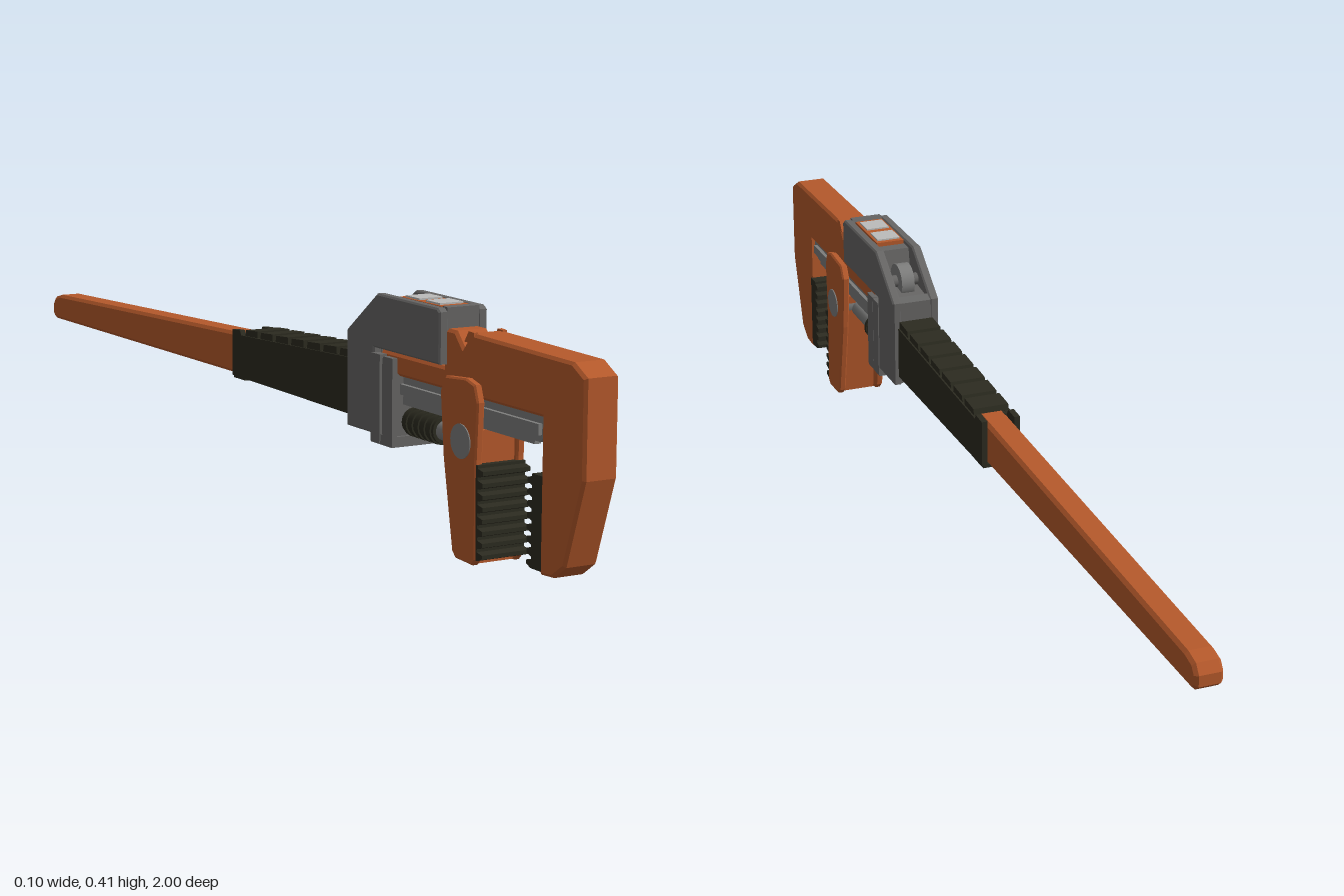
import * as THREE from 'three';

const mat = (name, color) => new THREE.MeshStandardMaterial({ name, color });

export function createModel() {
  const orange = mat('orange paint', 0xb5592b);
  const grey = mat('housing grey', 0x666564);
  const steel = mat('steel', 0x7d7d7c);
  const dark = mat('black rubber', 0x2c2b20);
  const pale = mat('pale window', 0xbcbcba);

  const group = new THREE.Group();
  group.name = 'pipeWrench';

  const add = (name, geometry, material, x = 0, y = 0, z = 0) => {
    const mesh = new THREE.Mesh(geometry, material);
    mesh.name = name;
    mesh.position.set(x, y, z);
    group.add(mesh);
    return mesh;
  };
  const box = (name, m, w, y0, y1, z0, z1, x = 0) =>
    add(name, new THREE.BoxGeometry(w, y1 - y0, z1 - z0), m, x, (y0 + y1) / 2, (z0 + z1) / 2);

  // Side profile of [z, y] points, extruded across x and centred on x
  const slab = (name, m, points, width, bevel = 0, x = 0) => {
    const shape = new THREE.Shape(points.map(([z, y]) => new THREE.Vector2(z, y)));
    const g = new THREE.ExtrudeGeometry(shape, {
      depth: width - 2 * bevel, bevelEnabled: bevel > 0, bevelSize: bevel,
      bevelThickness: bevel, bevelOffset: -bevel, bevelSegments: 1,
    });
    g.translate(0, 0, bevel - width / 2);
    g.rotateY(-Math.PI / 2);
    return add(name, g, m, x);
  };
  const pair = (fn) => [-1, 1].forEach(fn);

  // Cylinder along z or x
  const rod = (name, m, r, length, axis, y, z, sides = 20) => {
    const g = new THREE.CylinderGeometry(r, r, length, sides);
    if (axis === 'z') g.rotateX(Math.PI / 2);
    else g.rotateZ(Math.PI / 2);
    return add(name, g, m, 0, y, z);
  };

  // Fixed hook jaw with its upper bar
  slab('hookJaw', orange, [
    [1, 0.35], [0.965, 0.37], [0.68, 0.376], [0.657, 0.35], [0.635, 0.374], [0.6, 0.374],
    [0.6, 0.31], [0.4, 0.31], [0.4, 0.272], [0.885, 0.272], [0.885, 0.02],
    [0.92, 0.022], [0.952, 0.045], [1, 0.19],
  ], 0.064, 0.005);
  pair((s) => slab('notchTab', orange, [[0.69, 0.36], [0.69, 0.378], [0.675, 0.379], [0.662, 0.36]],
    0.008, 0, s * 0.028));

  // Sliding rail below the bar, ribbed on both sides
  slab('rail', steel, [[0.887, 0.275], [0.887, 0.25], [0.865, 0.228], [0.4, 0.228], [0.4, 0.275]], 0.04);
  pair((s) => box('railRib', steel, 0.008, 0.24, 0.258, 0.4, 0.87, s * 0.023));
  pair((s) => box('railFoot', steel, 0.012, 0.222, 0.23, 0.4, 0.85, s * 0.014));

  // Toothed jaw faces
  const teeth = (name, back, root, tip, y0, y1, count, width) => {
    const pts = [[back, y1], [back, y0]];
    const step = (y1 - y0) / count;
    for (let i = 0; i < count; i++) {
      const y = y0 + i * step;
      pts.push([root, y], [tip, y + step * 0.25], [tip, y + step * 0.6], [root, y + step * 0.75]);
    }
    pts.push([root, y1]);
    slab(name, dark, pts, width);
  };
  teeth('hookTeeth', 0.89, 0.859, 0.846, 0.025, 0.178, 8, 0.06);
  teeth('slidingTeeth', 0.7, 0.728, 0.743, 0.01, 0.168, 8, 0.092);

  // Sliding jaw: two side plates around a core
  const plate = [
    [0.728, 0.27], [0.718, 0.298], [0.692, 0.305], [0.63, 0.3], [0.615, 0.275],
    [0.626, 0.165], [0.655, 0.012], [0.665, 0.002], [0.715, 0], [0.725, 0.01], [0.723, 0.175],
  ];
  pair((s) => slab('slidingJawPlate', orange, plate, 0.015, 0.003, s * 0.0405));
  slab('slidingJawCore', orange, [[0.715, 0.222], [0.65, 0.222], [0.672, 0.002], [0.715, 0.002]], 0.07);
  rod('jawPin', steel, 0.029, 0.1, 'x', 0.2, 0.68, 24);

  // Adjusting screw and its knurled nut
  rod('screw', steel, 0.017, 0.13, 'z', 0.192, 0.595);
  rod('nut', dark, 0.023, 0.1, 'z', 0.192, 0.505, 16);
  for (let i = 0; i < 5; i++) rod('nutRing', dark, 0.026, 0.01, 'z', 0.192, 0.468 + i * 0.019, 16);

  // Housing: side walls around a lower centre that leaves a top recess
  const wall = [
    [0.61, 0.315], [0.61, 0.402], [0.602, 0.408], [0.41, 0.409], [0.31, 0.335],
    [0.31, 0.165], [0.4, 0.165], [0.4, 0.315],
  ];
  pair((s) => slab('housingWall', grey, wall, 0.018, 0.003, s * 0.038));
  slab('housingCentre', grey, [
    [0.609, 0.315], [0.609, 0.409], [0.595, 0.41], [0.59, 0.4], [0.43, 0.4], [0.42, 0.345],
    [0.335, 0.335], [0.325, 0.342], [0.311, 0.334], [0.311, 0.167], [0.4, 0.167], [0.4, 0.315],
  ], 0.062);
  rod('thumbWheel', steel, 0.034, 0.026, 'x', 0.352, 0.385, 24);
  rod('wheelAxle', grey, 0.012, 0.06, 'x', 0.352, 0.385, 12);

  // Windows in an orange frame on top
  box('windowFrame', orange, 0.056, 0.4, 0.408, 0.455, 0.585);
  for (const z of [0.487, 0.551]) box('window', pale, 0.046, 0.408, 0.411, z - 0.022, z + 0.022);

  // Bracket holding the rail
  box('bracket', grey, 0.088, 0.165, 0.3, 0.395, 0.455);
  box('bracketFoot', grey, 0.094, 0.15, 0.168, 0.395, 0.462);
  pair((s) => {
    box('bracketBarRear', grey, 0.014, 0.152, 0.306, 0.395, 0.425, s * 0.042);
    box('bracketBarFront', grey, 0.01, 0.152, 0.304, 0.432, 0.463, s * 0.042);
  });

  // Handle
  slab('handle', orange, [
    [0.32, 0.284], [-0.1, 0.267], [-0.96, 0.236], [-0.988, 0.229], [-1, 0.212],
    [-1, 0.192], [-0.988, 0.182], [0.32, 0.188],
  ], 0.05, 0.006);

  // Grip sleeve with stepped ribs along its top
  const grip = [[-0.1, 0.184], [0.31, 0.182]];
  const ribs = 7;
  const top = (z) => 0.276 + (z + 0.13) * 0.045;
  for (let i = 0; i < ribs; i++) {
    const z = 0.31 - i * 0.0586;
    grip.push([z, top(z) + 0.001], [z - 0.044, top(z - 0.044)],
      [z - 0.047, top(z) - 0.014], [z - 0.0585, top(z) - 0.014]);
  }
  slab('grip', dark, grip, 0.068);
  pair((s) => slab('gripSide', dark, [
    [0.31, 0.182], [0.31, 0.283], [-0.1, 0.266], [-0.105, 0.275], [-0.135, 0.273], [-0.135, 0.186],
  ], 0.011, 0, s * 0.0315));
  box('gripEndFoot', dark, 0.068, 0.181, 0.188, -0.135, -0.09);

  return group;
}
